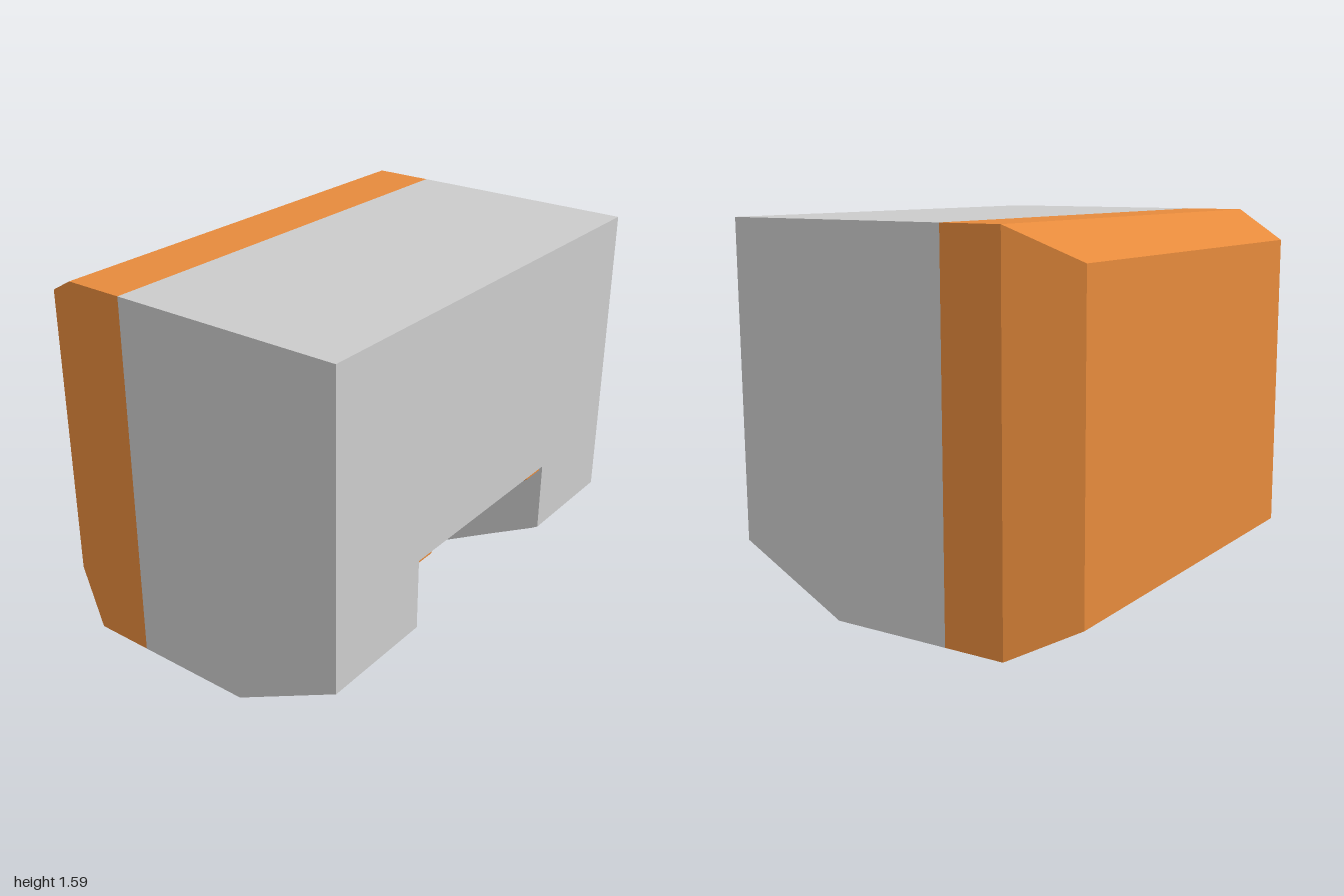
import * as THREE from 'three';

const grey = new THREE.MeshStandardMaterial({ color: 0xcccccc, flatShading: true });
const orange = new THREE.MeshStandardMaterial({ color: 0xe68a3c, flatShading: true });
const black = new THREE.MeshStandardMaterial({ color: 0x222222, flatShading: true });

export function createModel() {
  const model = new THREE.Group();

  const add = (name, geometry, material) => {
    const mesh = new THREE.Mesh(geometry, material);
    mesh.name = name;
    model.add(mesh);
    return mesh;
  };

  // Box given by its limits on each axis
  const box = (name, [x0, x1], [y0, y1], [z0, z1], material = grey) => {
    const mesh = add(name, new THREE.BoxGeometry(x1 - x0, y1 - y0, z1 - z0), material);
    mesh.position.set((x0 + x1) / 2, (y0 + y1) / 2, (z0 + z1) / 2);
  };

  // Side profile of [z, y] points, extruded from x0 to x1
  const prism = (name, [x0, x1], profile, material = grey) => {
    const shape = new THREE.Shape(profile.map(([z, y]) => new THREE.Vector2(z, y)));
    const geometry = new THREE.ExtrudeGeometry(shape, { depth: x1 - x0, bevelEnabled: false });
    geometry.rotateY(-Math.PI / 2).translate(x1, 0, 0);
    add(name, geometry, material);
  };

  // Main housing above the front opening
  box('upperBody', [-1, 1], [0.585, 1.59], [-0.24, 0.76]);

  // Rear shell: straight band, then a tapered end
  box('rearBand', [-1, 1], [0.025, 1.59], [-0.5, -0.24], orange);
  const taper = new THREE.BoxGeometry(2, 1.565, 0.26);
  const p = taper.attributes.position;
  for (let i = 0; i < p.count; i++) {
    if (p.getZ(i) < 0) p.setXY(i, p.getX(i) * 0.867, p.getY(i) * 0.834);
  }
  taper.computeVertexNormals();
  add('rearTaper', taper, orange).position.set(0, 0.8075, -0.63);

  // Back wall and sloping ceiling of the opening
  box('openingBackWall', [-0.48, 0.48], [0.025, 0.585], [-0.24, -0.235]);
  prism('openingCeilingSlope', [-0.37, 0.37], [[-0.24, 0.42], [0.08, 0.585], [-0.24, 0.585]]);
  box('ceilingBlock', [-0.37, -0.155], [0.485, 0.585], [0, 0.3]);
  box('ceilingKnob', [-0.155, -0.115], [0.535, 0.585], [0.05, 0.25], black);

  for (const side of [-1, 1]) {
    const label = side > 0 ? 'left' : 'right';
    const span = (a, b) => (side > 0 ? [a, b] : [-b, -a]);

    // Lower pod with a sloping front underside
    prism(label + 'Pod', span(0.48, 1),
      [[-0.24, 0.025], [0.28, 0.025], [0.76, 0.277], [0.76, 0.585], [-0.24, 0.585]]);

    // Panel fixed under the slope
    prism(label + 'SlopePanel', span(0.54, 0.93),
      [[0.346, 0.037], [0.715, 0.227], [0.705, 0.25], [0.335, 0.056]]);

    // Inner step with a sloping coloured underside
    prism(label + 'Step', span(0.37, 0.48), [[-0.24, 0.075], [0.745, 0.585], [-0.24, 0.585]]);
    prism(label + 'StepStrip', span(0.37, 0.48),
      [[-0.24, 0.05], [0.745, 0.56], [0.745, 0.585], [-0.24, 0.075]], orange);

    // Narrow rail under the strip
    prism(label + 'Rail', span(0.39, 0.415),
      [[0.04, 0.185], [0.434, 0.385], [0.424, 0.405], [0.03, 0.205]]);
  }

  // Bottom pads, the narrow one with a dark slot
  box('leftBottomPad', [0.61, 0.87], [0, 0.025], [-0.175, 0.215]);
  box('leftPadSlot', [0.65, 0.83], [-0.001, 0.01], [0.09, 0.16], black);
  box('rightBottomPad', [-0.93, -0.54], [0, 0.025], [-0.175, 0.215]);

  return model;
}
